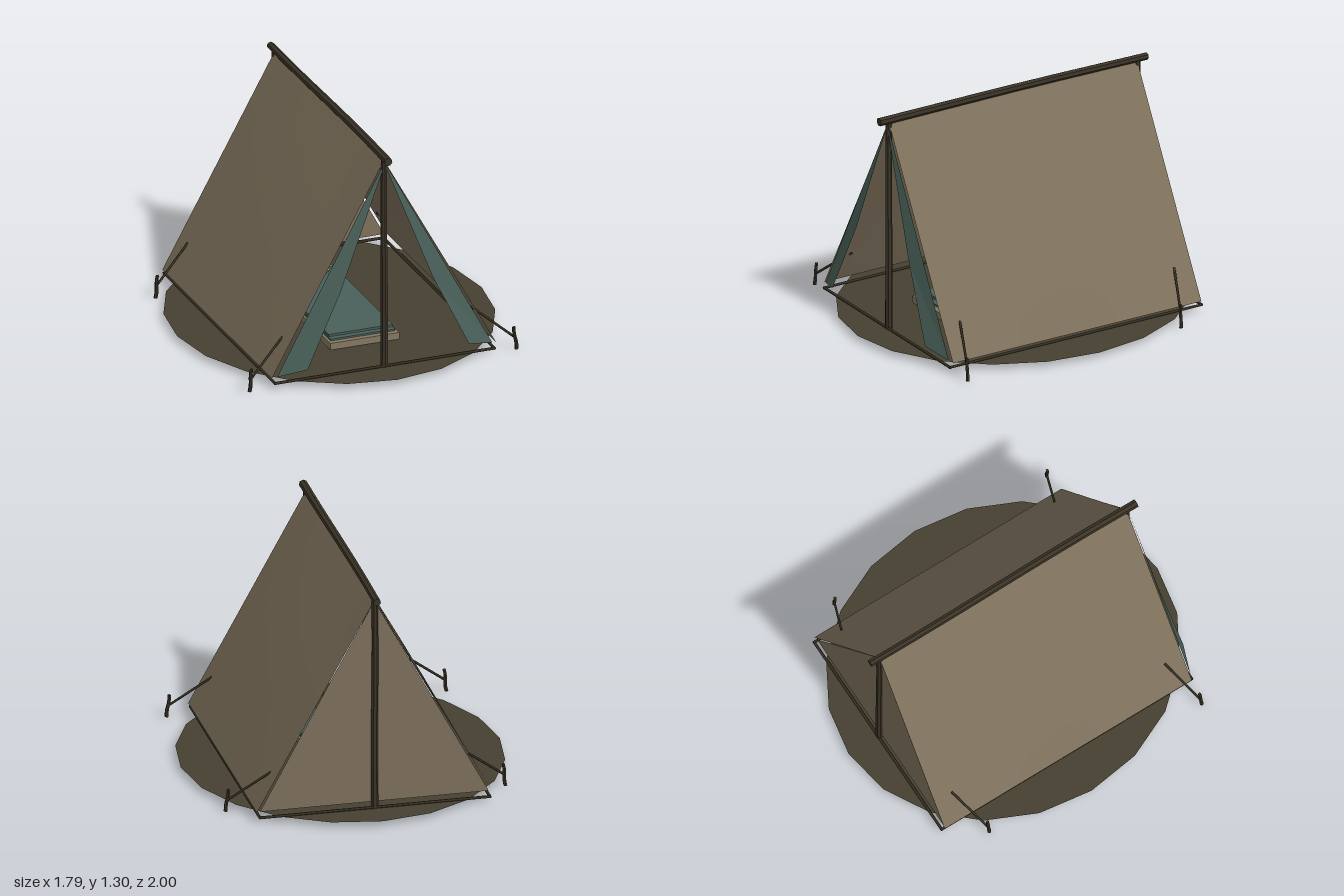
import * as THREE from 'three';

const mat = (name, color, extra = {}) => {
  const m = new THREE.MeshStandardMaterial({ color, ...extra });
  m.name = name;
  return m;
};

export function createModel() {
  const group = new THREE.Group();
  const canvas = mat('canvas', 0x7e715c, { side: THREE.DoubleSide });
  const teal = mat('tealCloth', 0x496059, { side: THREE.DoubleSide, flatShading: true });
  const wood = mat('wood', 0x3a3326, { flatShading: true });
  const rope = mat('rope', 0x352e22);
  const earth = mat('earth', 0x454030, { side: THREE.DoubleSide });
  const linen = mat('linen', 0x857862, { flatShading: true });

  const add = (name, geo, material, x = 0, y = 0, z = 0) => {
    const mesh = new THREE.Mesh(geo, material);
    mesh.name = name;
    mesh.position.set(x, y, z);
    group.add(mesh);
    return mesh;
  };
  const bend = (geo, rule) => {
    const p = geo.attributes.position, v = new THREE.Vector3();
    for (let i = 0; i < p.count; i++) {
      v.fromBufferAttribute(p, i);
      rule(v);
      p.setXYZ(i, v.x, v.y, v.z);
    }
    geo.computeVertexNormals();
    return geo;
  };
  // straight or slightly crooked rod between two points
  const rod = (name, a, b, r0, r1, material, sides = 6, crook = 0) => {
    const A = new THREE.Vector3(...a), B = new THREE.Vector3(...b);
    const len = A.distanceTo(B);
    const geo = new THREE.CylinderGeometry(r1, r0, len, sides, crook ? 5 : 1);
    if (crook) bend(geo, v => { v.x += crook * Math.sin((v.y / len + 0.5) * Math.PI * 2); });
    const mesh = add(name, geo, material);
    mesh.position.copy(A).add(B).multiplyScalar(0.5);
    mesh.quaternion.setFromUnitVectors(new THREE.Vector3(0, 1, 0), B.sub(A).normalize());
    return mesh;
  };
  // thin panel from corner points, fanned around the first one
  const panel = (name, pts, material) => {
    const geo = new THREE.BufferGeometry();
    geo.setAttribute('position', new THREE.Float32BufferAttribute(pts.flat(), 3));
    const index = [];
    for (let i = 1; i < pts.length - 1; i++) index.push(0, i, i + 1);
    geo.setIndex(index);
    const flat = geo.toNonIndexed();
    flat.computeVertexNormals();
    return add(name, flat, material);
  };

  // ground patch
  const ground = new THREE.CircleGeometry(1, 20);
  ground.rotateX(-Math.PI / 2).scale(0.895, 1, 1);
  add('groundPatch', ground, earth, 0, 0.03, 0);

  // sloping roof sheets, bellied slightly outward
  for (const s of [-1, 1]) {
    const sheet = new THREE.PlaneGeometry(1, 1, 10, 8);
    bend(sheet, v => {
      const t = 0.5 - v.y, u = v.x + 0.5;
      const belly = 0.012 * Math.sin(Math.PI * t) * Math.sin(Math.PI * u);
      v.set(s * (0.66 * t + belly * 0.87), 1.255 - 1.192 * t + belly * 0.48, -s * 1.6 * (u - 0.5));
    });
    add(s > 0 ? 'leftRoofSheet' : 'rightRoofSheet', sheet, canvas);
  }

  // closed back wall
  panel('backWall', [[0, 1.25, -0.795], [0.642, 0.065, -0.795], [-0.642, 0.065, -0.795]], canvas);

  // door flaps folded back
  for (const s of [-1, 1]) {
    panel('doorFlap', [
      [s * 0.632, 0.072, 0.81], [s * 0.012, 1.225, 0.808], [s * 0.004, 1.225, 0.81],
      [s * 0.27, 0.535, 0.84], [s * 0.475, 0.11, 0.864],
    ], teal);
  }

  // poles and ridge beam
  rod('frontPole', [0, 0.03, 0.8], [0, 1.265, 0.8], 0.021, 0.018, wood, 7, 0.002);
  rod('backPole', [0, 0.03, -0.8], [0, 1.265, -0.8], 0.021, 0.018, wood, 7, 0.002);
  const beam = new THREE.CylinderGeometry(0.021, 0.024, 1.725, 7, 6);
  beam.rotateX(-Math.PI / 2);
  bend(beam, v => {
    v.y += 0.004 * Math.sin((v.z + 0.4) * 2.6);
    v.x += 0.003 * Math.sin(v.z * 3.5);
  });
  add('ridgeBeam', beam, wood, 0, 1.27, 0);

  // ropes along the foot of the tent
  for (const s of [-1, 1]) {
    rod('footRope', [-0.65, 0.036, s * 0.81], [0.65, 0.036, s * 0.81], 0.008, 0.008, rope);
    rod('footRope', [s * 0.645, 0.036, -0.815], [s * 0.645, 0.036, 0.815], 0.008, 0.008, rope);
  }

  // guy ropes and pegs
  for (const s of [-1, 1]) {
    for (const [z0, z1] of [[0.69, 0.78], [-0.69, -0.595]]) {
      rod('guyRope', [s * 0.555, 0.25, z0], [s * 0.78, 0.065, z1], 0.007, 0.007, rope);
      rod('peg', [s * 0.785, 0, z1 + 0.005], [s * 0.771, 0.13, z1], 0.011, 0.009, wood, 6, 0.003);
    }
  }

  // bed: mattress, folded blankets, pillow
  add('mattress', new THREE.BoxGeometry(0.405, 0.04, 1.03), linen, 0, 0.064, 0.005);
  add('lowerBlanket', new THREE.BoxGeometry(0.38, 0.01, 0.92), teal, 0, 0.09, 0.03);
  add('upperBlanket', new THREE.BoxGeometry(0.375, 0.013, 0.84), teal, 0, 0.104, 0.04);
  const pillow = new THREE.IcosahedronGeometry(1, 1);
  pillow.scale(0.15, 0.04, 0.1);
  add('pillow', pillow, linen, 0, 0.13, -0.36);

  return group;
}
